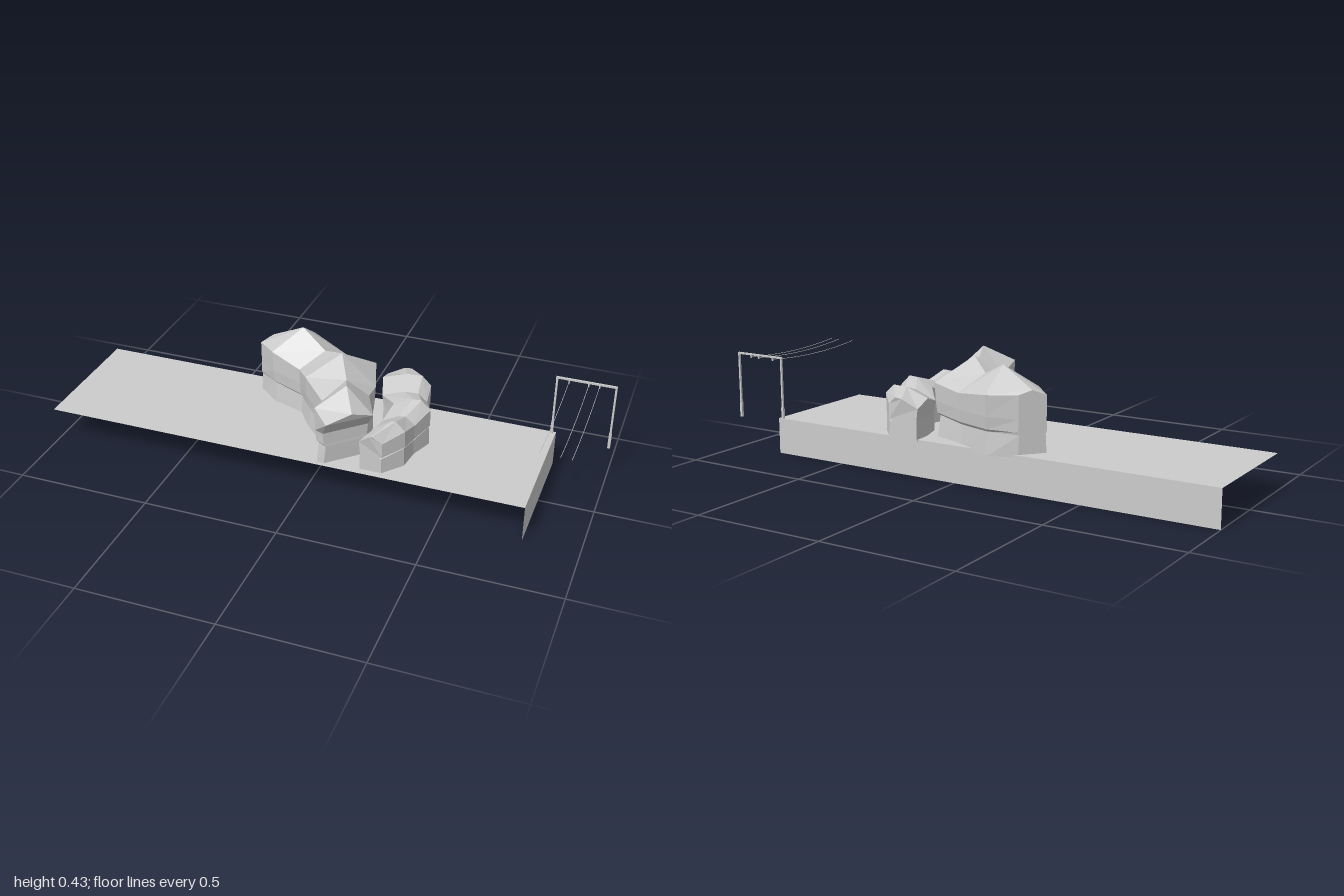
import * as THREE from 'three';

const mat = new THREE.MeshStandardMaterial({ color: 0xcccccc, flatShading: true, side: THREE.DoubleSide });

function add(group, name, geo, x = 0, y = 0, z = 0) {
  const m = new THREE.Mesh(geo, mat);
  m.name = name;
  m.position.set(x, y, z);
  group.add(m);
  return m;
}

// Faceted skin through a row of cross-sections, with both ends closed
function loft(sections) {
  const pos = [];
  const tri = (a, b, c) => pos.push(...a, ...b, ...c);
  for (let i = 0; i < sections.length - 1; i++) {
    const a = sections[i], b = sections[i + 1];
    for (let j = 0; j < a.length - 1; j++) {
      tri(a[j], a[j + 1], b[j]);
      tri(a[j + 1], b[j + 1], b[j]);
    }
  }
  const first = sections[0], last = sections[sections.length - 1];
  for (let j = 0; j < first.length / 2 - 1; j++) {
    const k = first.length - 1 - j;
    tri(first[j], first[k], first[j + 1]);
    tri(first[j + 1], first[k], first[k - 1]);
    tri(last[j], last[j + 1], last[k]);
    tri(last[j + 1], last[k - 1], last[k]);
  }
  const g = new THREE.BufferGeometry();
  g.setAttribute('position', new THREE.Float32BufferAttribute(pos, 3));
  g.computeVertexNormals();
  return g;
}

// Point under an edge, moved towards the middle by a share t
const under = (edge, mid, t, y) => [edge[0] + (mid[0] - edge[0]) * t, y, edge[2] + (mid[2] - edge[2]) * t];

// Tall rock: back edge, ridge and front edge at each station
function tallRock() {
  const stations = [
    [[-0.257, 0.345, -0.243], [-0.29, 0.36, -0.205], [-0.325, 0.34, -0.165]],
    [[-0.16, 0.345, -0.3], [-0.157, 0.43, -0.175], [-0.25, 0.35, -0.093]],
    [[0.0, 0.32, -0.22], [-0.05, 0.38, -0.12], [-0.128, 0.32, -0.055]],
    [[0.13, 0.335, -0.175], [0.04, 0.423, -0.052], [-0.07, 0.345, 0.03]],
    [[0.17, 0.31, -0.05], [0.09, 0.372, 0.04], [0.03, 0.325, 0.13]],
    [[0.18, 0.335, 0.055], [0.13, 0.42, 0.153], [0.043, 0.36, 0.238]],
    [[0.235, 0.335, 0.175], [0.18, 0.365, 0.24], [0.107, 0.337, 0.297]]
  ];
  return loft(stations.map(([k, m, f], i) => {
    const zig = i % 2 ? 0.01 : 0;
    const wall = (e) => {
      // The last station overhangs its foot
      const pull = i === 6 ? 0.06 : 0;
      const t = i === 0 ? 0 : 0.06;
      return [[0.02, 0.26 + zig], [t, 0.215 + zig], [t + 0.08, 0.205 + zig], [t, 0.13]].map(([s, y]) => {
        const p = under(e, m, s, y);
        return [p[0] - pull * 0.6, p[1], p[2] - pull];
      });
    };
    return [...wall(k).reverse(), k, m, f, ...wall(f)];
  }));
}

// Low rock: z, outer wall x, inner edge x, peak flag by station
function lowRock() {
  const stations = [
    [-0.255, 0.275, 0.15], [-0.183, 0.34, 0.155], [-0.1, 0.35, 0.18], [-0.017, 0.387, 0.25],
    [0.067, 0.355, 0.235], [0.15, 0.345, 0.24], [0.222, 0.285, 0.2]
  ];
  return loft(stations.map(([z, o, n], i) => {
    const p = i % 2;
    const top = p ? 0.311 : 0.285;
    const zTop = i === 0 ? z - 0.01 : i === 6 ? z + 0.011 : z;
    const mid = (o + n) / 2;
    return [
      [o, 0.13, z], [o - 0.003, 0.193 + p * 0.015, z], [o - 0.015, 0.194 + p * 0.015, z],
      [o, 0.2 + p * 0.013, z], [o, 0.256 + p * 0.021, z], [o - 0.035, top, zTop],
      [mid, top - 0.003, zTop], [n, top - 0.035, z], [n + 0.005, 0.21, z], [n + 0.005, 0.13, z]
    ];
  }));
}

export function createModel() {
  const model = new THREE.Group();

  // Open platform: top, back wall and right-hand end wall
  const platform = new THREE.Group();
  platform.name = 'platform';
  add(platform, 'platformTop', new THREE.PlaneGeometry(1.8, 0.5), -0.1, 0.137, 0).rotation.x = -Math.PI / 2;
  add(platform, 'platformBack', new THREE.PlaneGeometry(1.8, 0.137), -0.1, 0.0685, -0.25).rotation.y = Math.PI;
  add(platform, 'platformEnd', new THREE.PlaneGeometry(0.5, 0.137), 0.8, 0.0685, 0).rotation.y = Math.PI / 2;
  model.add(platform);

  // Rocks
  add(model, 'tallRock', tallRock());
  add(model, 'lowRock', lowRock());

  // Wire gantry
  const gantry = new THREE.Group();
  gantry.name = 'gantry';
  const z = -0.243;
  for (const x of [0.785, 0.995]) {
    add(gantry, 'post', new THREE.BoxGeometry(0.007, 0.254, 0.007), x, 0.245, z);
    add(gantry, 'postFoot', new THREE.BoxGeometry(0.01, 0.06, 0.009), x, 0.148, z);
  }
  add(gantry, 'crossbar', new THREE.BoxGeometry(0.218, 0.007, 0.007), 0.89, 0.37, z);
  for (const x of [0.828, 0.898, 0.936]) {
    add(gantry, 'insulator', new THREE.CylinderGeometry(0.003, 0.003, 0.012, 6), x, 0.361, z);
    const sag = new THREE.QuadraticBezierCurve3(
      new THREE.Vector3(x, 0.361, z), new THREE.Vector3(x, 0.332, 0.003), new THREE.Vector3(x, 0.361, 0.25));
    add(gantry, 'wire', new THREE.TubeGeometry(sag, 12, 0.001, 4));
  }
  model.add(gantry);
  return model;
}
